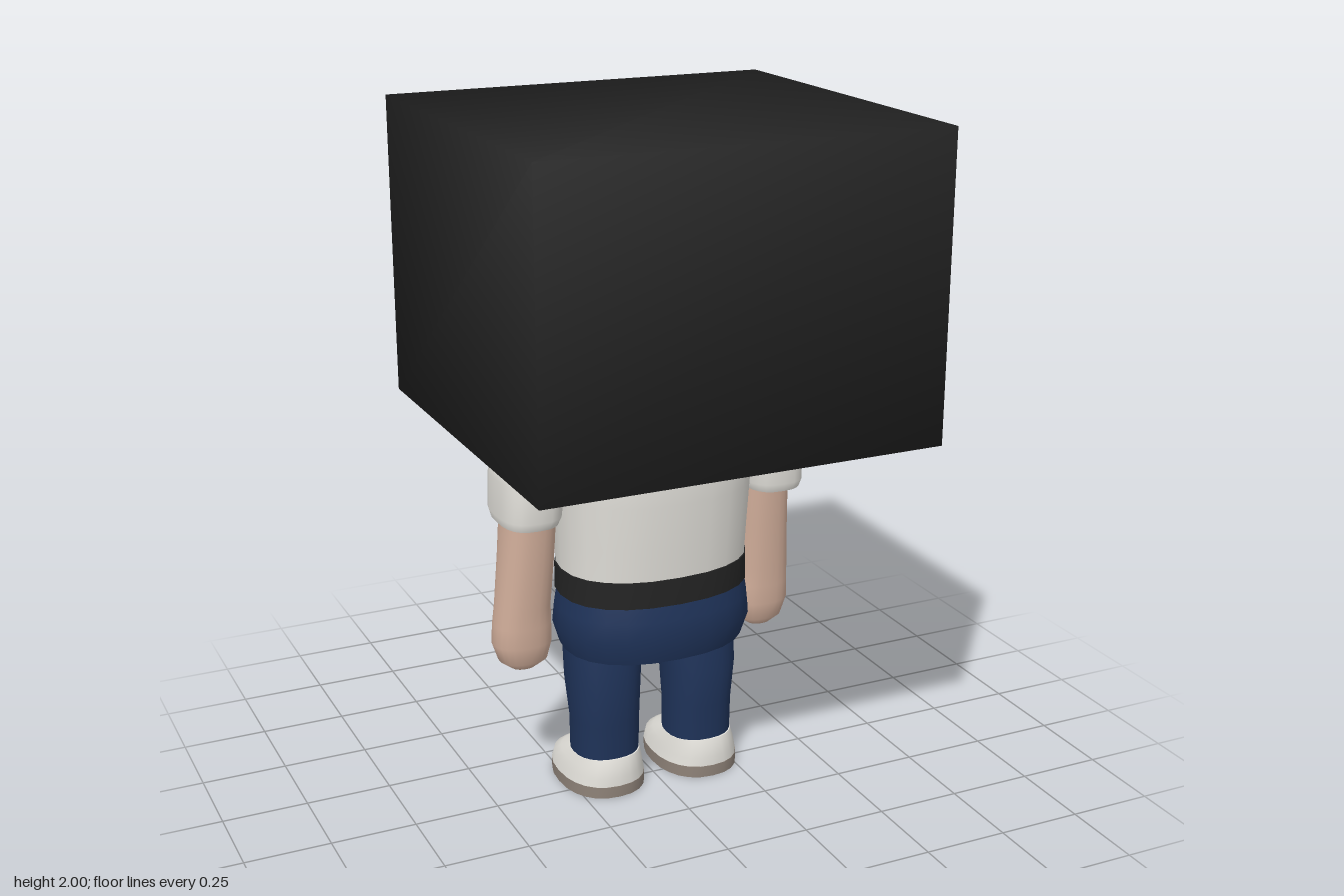
import * as THREE from 'three';
import { mergeVertices } from 'three/addons/utils/BufferGeometryUtils.js';

const mat = (name, color) => {
  const m = new THREE.MeshStandardMaterial({ color });
  m.name = name;
  return m;
};

// Rounded tube through rings [y, xMin, xMax, zMin, zMax], listed bottom to top, with flat caps
function loft(rings, power = 2.3, n = 24) {
  const pos = [], index = [];
  const addRing = ([y, x0, x1, z0, z1]) => {
    const start = pos.length / 3;
    for (let j = 0; j < n; j++) {
      const a = (j / n) * Math.PI * 2, c = Math.cos(a), s = Math.sin(a);
      const u = Math.sign(c) * Math.abs(c) ** (2 / power);
      const v = Math.sign(s) * Math.abs(s) ** (2 / power);
      pos.push((x0 + x1) / 2 + (u * (x1 - x0)) / 2, y, (z0 + z1) / 2 + (v * (z1 - z0)) / 2);
    }
    return start;
  };
  const starts = rings.map(addRing);
  for (let i = 0; i + 1 < starts.length; i++) {
    for (let j = 0; j < n; j++) {
      const k = (j + 1) % n, a = starts[i], b = starts[i + 1];
      index.push(a + j, b + j, a + k, a + k, b + j, b + k);
    }
  }
  const cap = (ring, up) => {
    const s = addRing(ring), c = pos.length / 3;
    pos.push((ring[1] + ring[2]) / 2, ring[0], (ring[3] + ring[4]) / 2);
    for (let j = 0; j < n; j++) {
      const k = (j + 1) % n;
      if (up) index.push(c, s + k, s + j);
      else index.push(c, s + j, s + k);
    }
  };
  cap(rings[0], false);
  cap(rings[rings.length - 1], true);
  const g = new THREE.BufferGeometry();
  g.setAttribute('position', new THREE.Float32BufferAttribute(pos, 3));
  g.setIndex(index);
  g.computeVertexNormals();
  return g;
}

// Box whose normals are blended across its corners
function softBox(w, h, d) {
  const g = new THREE.BoxGeometry(w, h, d);
  g.deleteAttribute('uv');
  g.deleteAttribute('normal');
  const merged = mergeVertices(g);
  merged.computeVertexNormals();
  return merged;
}

export function createModel() {
  const group = new THREE.Group();
  const black = mat('black', 0x242424), white = mat('white', 0xe2e0da);
  const skin = mat('skin', 0xd6b29e), navy = mat('navy', 0x1f3359);
  const red = mat('red', 0xb81c1c), taupe = mat('taupe', 0x8e8278);

  const add = (name, geometry, material, p = [0, 0, 0], r = [0, 0, 0]) => {
    const m = new THREE.Mesh(geometry, material);
    m.name = name;
    m.position.set(...p);
    m.rotation.set(...r);
    group.add(m);
    return m;
  };

  // Block head with a tilted slab half sunk into its face
  add('headBlock', softBox(1.165, 0.86, 1.11), black, [0, 1.57, 0.035]);
  add('faceSlab', softBox(1, 0.3, 0.2), black, [0, 1.515, -0.444], [-0.41, 0, 0]);
  add('neck', loft([[1.08, -0.17, 0.17, -0.2, 0.13], [1.2, -0.18, 0.18, -0.21, 0.135]]), skin);

  // Trunk
  add('shirt', loft([
    [0.68, -0.28, 0.28, -0.22, 0.185],
    [0.8, -0.285, 0.285, -0.228, 0.193],
    [0.93, -0.293, 0.293, -0.24, 0.202],
    [1.04, -0.305, 0.305, -0.268, 0.205],
    [1.075, -0.29, 0.29, -0.268, 0.195],
    [1.105, -0.235, 0.235, -0.24, 0.17],
    [1.13, -0.18, 0.18, -0.21, 0.14],
  ]), white);
  add('belt', loft([
    [0.625, -0.285, 0.285, -0.225, 0.19],
    [0.705, -0.285, 0.285, -0.225, 0.19],
  ]), black);
  add('hips', loft([
    [0.45, -0.272, 0.272, -0.222, 0.183],
    [0.52, -0.294, 0.294, -0.234, 0.202],
    [0.58, -0.288, 0.288, -0.227, 0.195],
    [0.63, -0.28, 0.28, -0.22, 0.186],
  ]), navy);

  // Necktie: knot and two tails
  add('tieKnot', new THREE.BoxGeometry(0.095, 0.09, 0.05), red, [0, 0.995, -0.275], [0.25, 0, 0]);

  for (const s of [-1, 1]) {
    const side = s > 0 ? 'left' : 'right';
    const limb = (rings, power) =>
      loft(rings.map(([y, a, b, z0, z1]) => (s > 0 ? [y, a, b, z0, z1] : [y, -b, -a, z0, z1])), power);

    add(side + 'TieTail', new THREE.BoxGeometry(0.065, 0.17, 0.035), red,
      [s * 0.047, 0.845, -0.265], [0.25, 0, s * 0.2]);
    add(side + 'CollarFlap', new THREE.BoxGeometry(0.12, 0.012, 0.14), white,
      [s * 0.095, 1.098, -0.205], [-0.45, s * 0.3, 0]);

    // Arm, hand and thumb
    add(side + 'Sleeve', limb([
      [0.87, 0.3, 0.465, -0.155, 0.08],
      [0.895, 0.29, 0.472, -0.163, 0.09],
      [1.0, 0.285, 0.468, -0.165, 0.093],
      [1.035, 0.285, 0.46, -0.157, 0.085],
      [1.055, 0.285, 0.44, -0.14, 0.075],
      [1.068, 0.3, 0.38, -0.11, 0.05],
    ], 2.8), white);
    add(side + 'Arm', limb([
      [0.4, 0.35, 0.42, -0.1, -0.04],
      [0.425, 0.312, 0.455, -0.133, -0.015],
      [0.48, 0.298, 0.473, -0.146, -0.002],
      [0.54, 0.3, 0.47, -0.145, 0.003],
      [0.6, 0.304, 0.465, -0.138, 0.01],
      [0.75, 0.296, 0.455, -0.134, 0.027],
      [0.89, 0.292, 0.448, -0.13, 0.042],
    ]), skin);
    add(side + 'Thumb', new THREE.SphereGeometry(0.022, 12, 8), skin, [s * 0.335, 0.455, -0.125]);

    // Leg and shoe
    add(side + 'Leg', limb([
      [0.1, 0.052, 0.25, -0.118, 0.078],
      [0.22, 0.05, 0.252, -0.118, 0.08],
      [0.34, 0.045, 0.263, -0.136, 0.088],
      [0.48, 0.03, 0.268, -0.13, 0.065],
    ]), navy);
    add(side + 'Sole', limb([
      [0, 0.026, 0.28, -0.23, 0.1],
      [0.035, 0.026, 0.28, -0.234, 0.1],
    ]), taupe);
    add(side + 'Shoe', limb([
      [0.034, 0.026, 0.28, -0.234, 0.099],
      [0.062, 0.032, 0.274, -0.226, 0.097],
      [0.09, 0.04, 0.264, -0.18, 0.093],
      [0.115, 0.05, 0.252, -0.125, 0.084],
    ]), white);
  }
  return group;
}
